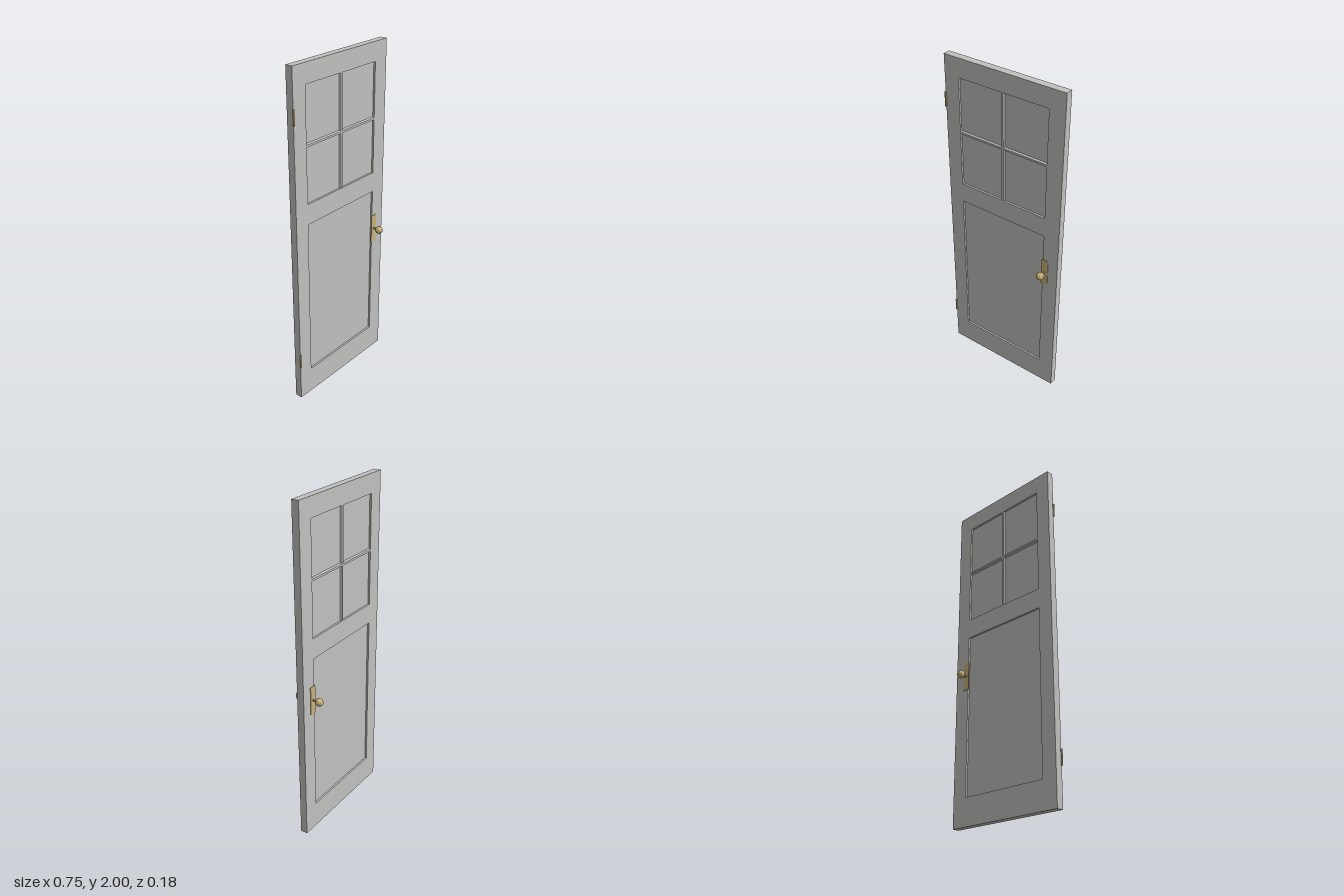
import * as THREE from 'three';

export function createModel() {
  const door = new THREE.Group();
  door.name = 'door';
  const paint = new THREE.MeshStandardMaterial({ name: 'grey paint', color: 0xc0c0be, flatShading: true });
  const brass = new THREE.MeshStandardMaterial({ name: 'brass', color: 0xc8b27a, flatShading: true });

  const back = -0.0225, front = 0.0205, thick = front - back, midZ = (front + back) / 2;
  const left = -0.28, right = 0.28;
  const upper = [1.24, 1.89], lower = [0.16, 1.12];

  const add = (name, geometry, material, x, y, z, parent = door) => {
    const mesh = new THREE.Mesh(geometry, material);
    mesh.name = name;
    mesh.position.set(x, y, z);
    parent.add(mesh);
    return mesh;
  };
  const rectangle = (path, x0, x1, y0, y1) => {
    path.moveTo(x0, y0).lineTo(x1, y0).lineTo(x1, y1).lineTo(x0, y1).closePath();
    return path;
  };

  // Frame with two openings
  const outline = rectangle(new THREE.Shape(), -0.371, 0.376, 0, 2);
  for (const [y0, y1] of [upper, lower]) outline.holes.push(rectangle(new THREE.Path(), left, right, y0, y1));
  add('frame', new THREE.ExtrudeGeometry(outline, { depth: thick, bevelEnabled: false }), paint, 0, 0, back);

  // Recessed panels, set in from both faces
  for (const [name, [y0, y1]] of [['upperPanel', upper], ['lowerPanel', lower]])
    add(name, new THREE.BoxGeometry(right - left, y1 - y0, thick - 0.022), paint, 0, (y0 + y1) / 2, midZ);

  // Glazing bars with sloping sides, proud on both faces
  const bar = (length) => {
    const h = thick / 2 - 0.001;
    const section = new THREE.Shape([
      [-0.006, -h], [0.006, -h], [0.011, -0.011], [0.011, 0.011],
      [0.006, h], [-0.006, h], [-0.011, 0.011], [-0.011, -0.011],
    ].map(([x, y]) => new THREE.Vector2(x, y)));
    return new THREE.ExtrudeGeometry(section, { depth: length, bevelEnabled: false })
      .translate(0, 0, -length / 2).rotateX(-Math.PI / 2);
  };
  add('verticalBar', bar(upper[1] - upper[0]), paint, 0, 1.565, midZ);
  add('horizontalBar', bar(right - left), paint, 0, 1.567, midZ).rotation.z = Math.PI / 2;

  // Knob, spindle and backplate on each face
  for (const side of [1, -1]) {
    const handle = new THREE.Group();
    handle.name = side > 0 ? 'frontHandle' : 'backHandle';
    handle.position.set(0.294, 0.875, midZ);
    door.add(handle);
    const face = thick / 2;
    add('backplate', new THREE.BoxGeometry(0.042, 0.17, 0.004), brass, 0, 0, side * (face + 0.0015), handle);
    add('spindle', new THREE.CylinderGeometry(0.006, 0.006, 0.04, 8).rotateX(Math.PI / 2), brass,
      0, 0, side * (face + 0.02), handle);
    add('knob', new THREE.IcosahedronGeometry(0.024, 1), brass, 0, 0, side * 0.0655, handle);
  }

  // Hinge barrels on the edge
  for (const [name, y] of [['lowerHinge', 0.263], ['upperHinge', 1.743]])
    add(name, new THREE.CylinderGeometry(0.006, 0.006, 0.086, 8), brass, -0.371, y, 0.022);

  return door;
}
